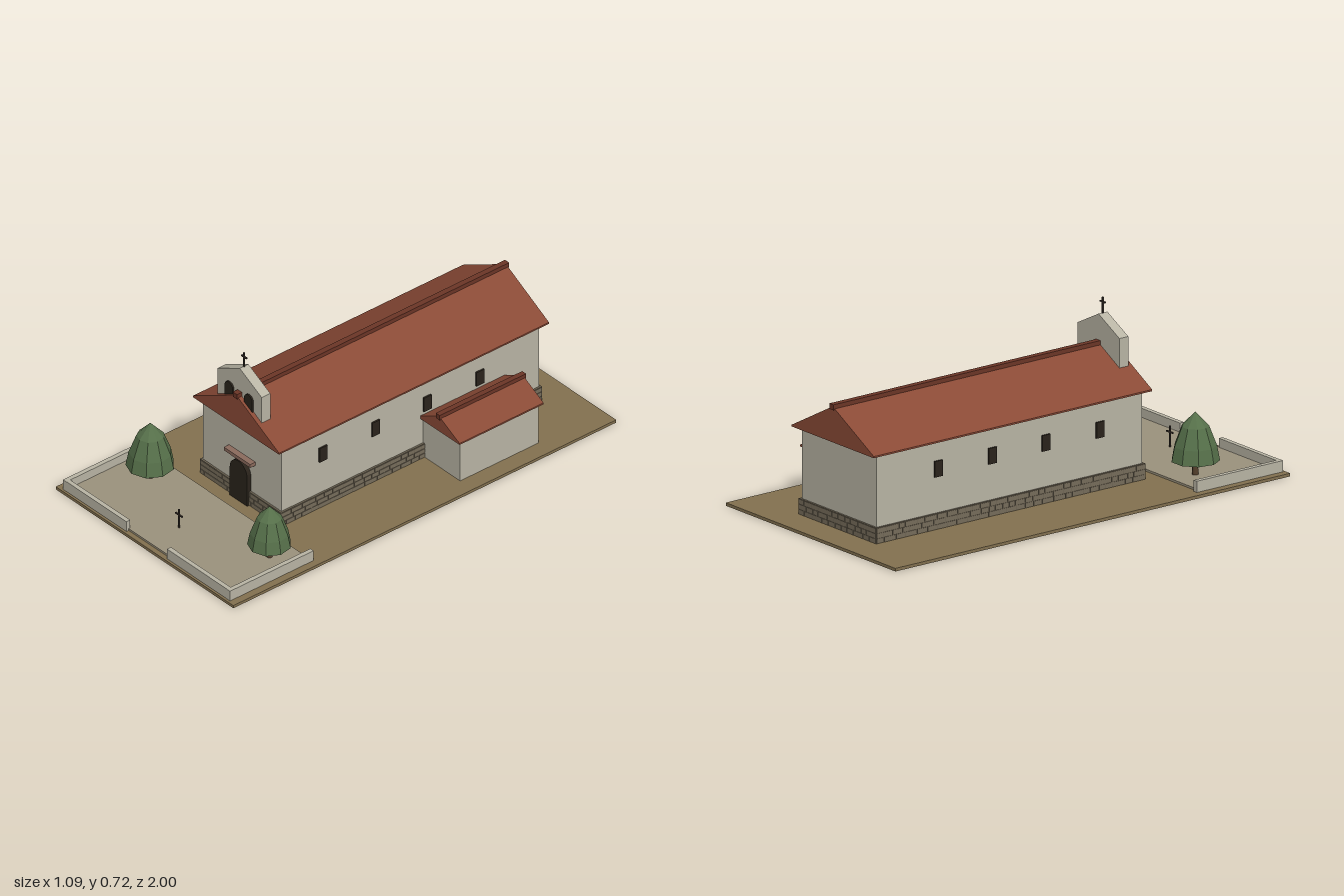
import * as THREE from 'three';
import { mergeGeometries } from 'three/addons/utils/BufferGeometryUtils.js';

const mat = (color, flat = false) =>
  new THREE.MeshStandardMaterial({ color, flatShading: flat });
const M = {
  earth: mat(0x82704f), paving: mat(0x9a917c), plaster: mat(0xb8b4a4),
  tile: mat(0x8a4a36), ridge: mat(0x6b3526), stone: mat(0x6a6150), cobble: mat(0x766c5a),
  dark: mat(0x2a231b), lintel: mat(0x8a6a5c), iron: mat(0x3a322b),
  leaf: mat(0x56704a, true), bark: mat(0x54402c),
};

// Box geometry from its min / max corners
function span(x0, x1, y0, y1, z0, z1) {
  return new THREE.BoxGeometry(x1 - x0, y1 - y0, z1 - z0)
    .translate((x0 + x1) / 2, (y0 + y1) / 2, (z0 + z1) / 2);
}

// Outline in x/y pushed from z0 to z1
function prism(points, z0, z1) {
  const shape = new THREE.Shape(points.map(([x, y]) => new THREE.Vector2(x, y)));
  return new THREE.ExtrudeGeometry(shape, { depth: z1 - z0, bevelEnabled: false }).translate(0, 0, z0);
}

// Round-headed panel
function arch(x, r, y0, spring, z0, z1) {
  const s = new THREE.Shape();
  s.moveTo(x - r, y0);
  s.lineTo(x + r, y0);
  s.lineTo(x + r, spring);
  s.absarc(x, spring, r, 0, Math.PI, false);
  s.closePath();
  return new THREE.ExtrudeGeometry(s, { depth: z1 - z0, bevelEnabled: false, curveSegments: 16 })
    .translate(0, 0, z0);
}

export function createModel() {
  const root = new THREE.Group();
  const add = (name, geometry, material, parent = root) => {
    const mesh = new THREE.Mesh(geometry, material);
    mesh.name = name;
    parent.add(mesh);
    return mesh;
  };
  const group = (name) => {
    const g = new THREE.Group();
    g.name = name;
    root.add(g);
    return g;
  };

  // Site
  add('ground', span(-0.545, 0.545, 0, 0.013, -1, 1), M.earth);
  add('forecourt', span(-0.5, 0.5, 0.01, 0.022, 0.565, 0.977), M.paving);

  // Gabled roof block with ridge cap
  function roof(name, x, half, eave, apex, z0, z1, capHalf) {
    const g = group(name);
    add('roofSlopes', prism([
      [x - half, eave], [x + half, eave], [x + half, eave + 0.007],
      [x, apex], [x - half, eave + 0.007],
    ], z0, z1), M.tile, g);
    add('ridgeCap', span(x - capHalf, x + capHalf, apex - 0.012, apex + 0.011, z0 - 0.006, z1 + 0.006), M.ridge, g);
  }

  // Nave and side annex
  add('naveWalls', span(-0.24, 0.24, 0.01, 0.383, -0.855, 0.49), M.plaster);
  roof('naveRoof', 0, 0.264, 0.38, 0.53, -0.888, 0.522, 0.013);
  add('annexWalls', span(0.22, 0.467, 0.01, 0.203, -0.66, -0.251), M.plaster);
  roof('annexRoof', 0.353, 0.127, 0.2, 0.273, -0.676, -0.237, 0.012);

  // Stone plinth, faced with staggered blocks of uneven length
  add('plinth', span(-0.249, 0.249, 0.01, 0.079, -0.864, 0.499), M.stone);
  let seed = 7;
  const rand = () => (seed = (seed * 16807) % 2147483647) / 2147483647;
  const blocks = [];
  const face = (length, place) => {
    for (let row = 0; row < 3; row++) {
      const y = 0.015 + row * 0.0215;
      for (let a = 0; a < length - 0.01;) {
        let b = Math.min(length, a + 0.03 + rand() * 0.035);
        if (length - b < 0.02) b = length;
        blocks.push(place(a + 0.0015, b - 0.0015, y, y + 0.019));
        a = b;
      }
    }
  };
  face(0.498, (a, b, y0, y1) => span(a - 0.249, b - 0.249, y0, y1, 0.497, 0.501));
  face(0.498, (a, b, y0, y1) => span(a - 0.249, b - 0.249, y0, y1, -0.866, -0.862));
  for (const s of [-1, 1]) {
    face(1.363, (a, b, y0, y1) =>
      span(s * 0.249 - 0.002, s * 0.249 + 0.002, y0, y1, a - 0.864, b - 0.864));
  }
  add('plinthStones', mergeGeometries(blocks), M.cobble);

  // Door, lintel and side windows
  add('door', arch(0, 0.053, 0.013, 0.152, 0.485, 0.51), M.dark);
  add('doorLintel', span(-0.081, 0.081, 0.217, 0.233, 0.485, 0.517), M.lintel);
  for (const s of [-1, 1]) {
    for (const z of [0.275, 0, -0.27, -0.545]) {
      add('window', span(s * 0.24 - 0.007, s * 0.24 + 0.007, 0.23, 0.297, z - 0.02, z + 0.02), M.dark);
    }
  }

  // Upright cross made of two bars
  function cross(name, y0, y1, armY, arm, t, z) {
    const g = group(name);
    add('crossPost', span(-t, t, y0, y1, z - t, z + t), M.iron, g);
    add('crossArm', span(-arm, arm, armY - t, armY + t, z - t, z + t), M.iron, g);
  }

  // Bell gable above the front
  add('bellGable', span(-0.135, 0.135, 0.4, 0.58, 0.458, 0.503), M.plaster);
  add('bellGableTop', prism([[-0.135, 0.58], [0.135, 0.58], [0, 0.65]], 0.458, 0.503), M.plaster);
  for (const s of [-1, 1]) add('bellOpening', arch(s * 0.06, 0.025, 0.44, 0.531, 0.49, 0.51), M.dark);
  cross('gableCross', 0.645, 0.716, 0.696, 0.016, 0.003, 0.48);
  cross('yardCross', 0.013, 0.11, 0.084, 0.021, 0.003, 0.82);

  // Low yard walls with an entrance gap
  for (const s of [-1, 1]) {
    const [a, b] = s < 0 ? [-0.512, -0.492] : [0.492, 0.512];
    const [c, d] = s < 0 ? [-0.512, -0.125] : [0.125, 0.512];
    add('yardSideWall', span(a, b, 0.01, 0.06, 0.553, 0.99), M.plaster);
    add('yardFrontWall', span(c, d, 0.01, 0.06, 0.969, 0.989), M.plaster);
  }

  // Trees: faceted domed crowns on short trunks
  for (const [x, z, k] of [[-0.343, 0.678, 1], [0.386, 0.676, 0.9]]) {
    const tree = group('tree');
    const profile = [[0, 0], [0.099, 0], [0.087, 0.062], [0.056, 0.143], [0, 0.202]]
      .map(([r, y]) => new THREE.Vector2(r * k, y * k));
    add('treeCrown', new THREE.LatheGeometry(profile, 9).translate(0, 0.082, 0), M.leaf, tree);
    add('treeTrunk', new THREE.CylinderGeometry(0.011, 0.013, 0.08, 8).translate(0, 0.05, 0), M.bark, tree);
    tree.position.set(x, 0, z);
  }
  return root;
}
